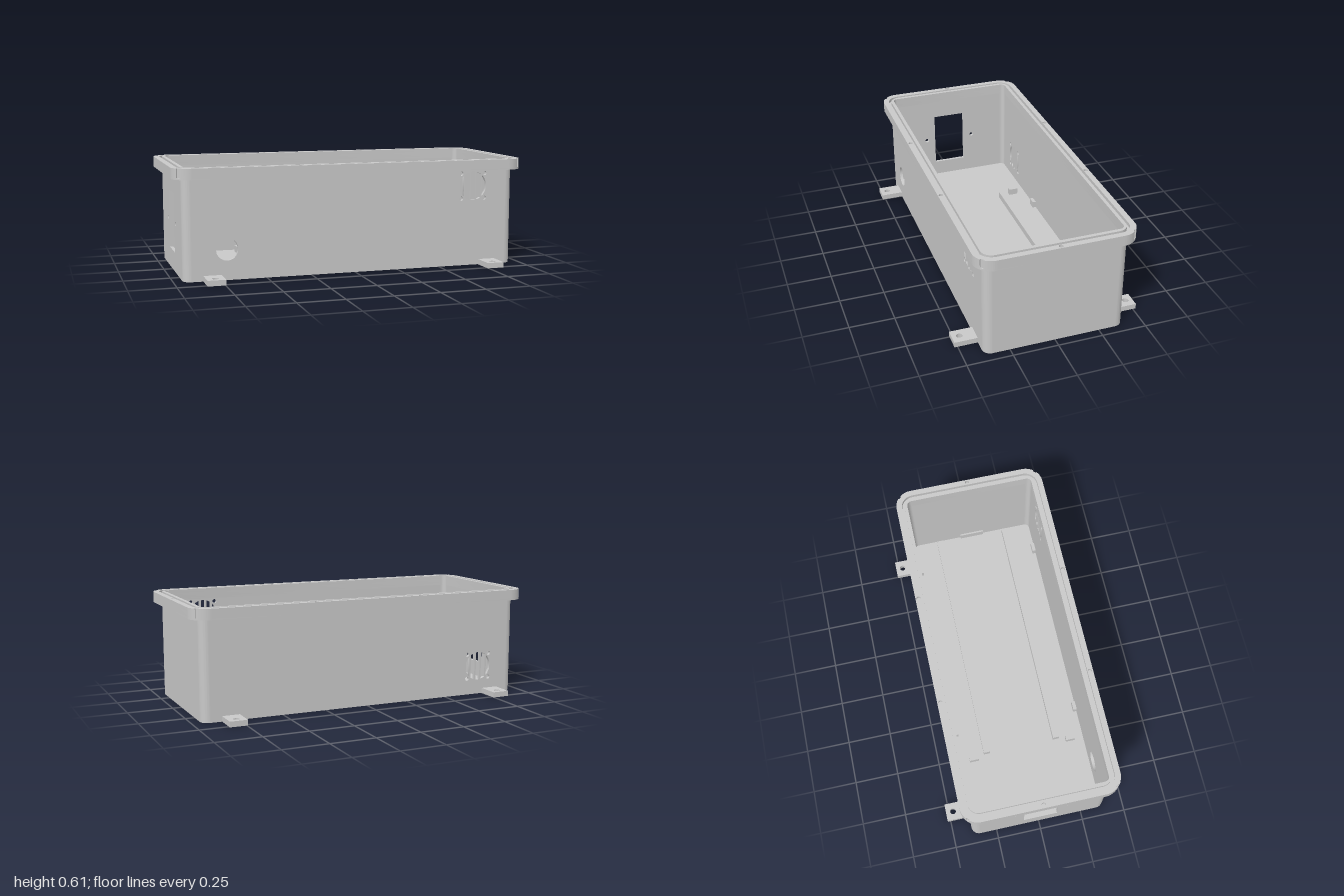
import * as THREE from 'three';
import { toCreasedNormals } from 'three/addons/utils/BufferGeometryUtils.js';

const BX = 0.95, BZ = 0.39, T = 0.018, R = 0.045;   // body half sizes, wall, corner radius
const WALL_H = 0.545, NOTCH_Y = 0.555, GROOVE_Y = 0.585, TOP = 0.605;

export function createModel() {
  const model = new THREE.Group();
  model.name = 'enclosure';
  const grey = new THREE.MeshStandardMaterial({ color: 0xc8c8c8 });
  grey.name = 'light grey plastic';

  const add = (name, geometry) => {
    const mesh = new THREE.Mesh(toCreasedNormals(geometry, 0.5), grey);
    mesh.name = name;
    model.add(mesh);
  };
  const extrude = (shape, depth) =>
    new THREE.ExtrudeGeometry(shape, { depth, bevelEnabled: false, curveSegments: 10 });
  // Extrude a plan shape (x, -z) from height y0 up to y1
  const slab = (name, shape, y0, y1) =>
    add(name, extrude(shape, y1 - y0).rotateX(-Math.PI / 2).translate(0, y0, 0));

  // Rounded rectangle, optionally with a shallow notch in the middle of each corner
  const roundedRect = (hx, hz, r, notch = 0, Type = THREE.Shape) => {
    const s = new Type();
    [[1, 1], [-1, 1], [-1, -1], [1, -1]].forEach(([sx, sz], i) => {
      const cx = sx * (hx - r), cz = sz * (hz - r);
      const a = i * Math.PI / 2, mid = a + Math.PI / 4, b = a + Math.PI / 2;
      if (notch) {
        s.absarc(cx, cz, r, a, mid - 0.1);
        s.absarc(cx, cz, r - notch, mid - 0.1, mid + 0.1);
        s.absarc(cx, cz, r, mid + 0.1, b);
      } else s.absarc(cx, cz, r, a, b);
    });
    s.closePath();
    return s;
  };
  const rect = (x0, y0, x1, y1, Type = THREE.Path) =>
    new Type([[x0, y0], [x1, y0], [x1, y1], [x0, y1]].map(p => new THREE.Vector2(...p)));
  const circle = (x, y, r) => new THREE.Path().absarc(x, y, r, 0, Math.PI * 2);

  // Fan grille: five slots trimmed by a circle, with four screw holes
  const grille = (cx, cy) => {
    const holes = [], rad = 0.081;
    for (let i = -2; i <= 2; i++) {
      const mid = i * 0.034, pts = [];
      for (const side of [1, -1]) {
        for (let k = 0; k <= 4; k++) {
          const x = mid + side * (k / 4 - 0.5) * 0.024;
          const y = Math.sqrt(Math.max(rad * rad - x * x, 0.0004));
          pts.push(new THREE.Vector2(cx + x, cy - side * y));
        }
      }
      holes.push(new THREE.Path(pts));
    }
    for (const sx of [-1, 1]) for (const sy of [-1, 1])
      holes.push(circle(cx + sx * 0.071, cy + sy * 0.071, 0.012));
    return holes;
  };

  // Long walls
  const longWall = (name, holes, z) => {
    const s = rect(-BX + R, 0, BX - R, WALL_H, THREE.Shape);
    s.holes.push(...holes);
    add(name, extrude(s, T).translate(0, 0, z));
  };
  longWall('frontWall', [circle(-0.715, 0.165, 0.06), ...grille(0.702, 0.455)], BZ - T);
  longWall('backWall', grille(-0.715, 0.165), -BZ);

  // End walls, one with a socket opening and its screw holes
  const endWall = (name, holes, x) => {
    const s = rect(-BZ + R, 0, BZ - R, WALL_H, THREE.Shape);
    s.holes.push(...holes);
    add(name, extrude(s, T).rotateY(Math.PI / 2).translate(x, 0, 0));
  };
  endWall('leftEndWall', [], BX - T);
  endWall('rightEndWall', [rect(-0.104, 0.11, 0.09, 0.44),
    circle(-0.159, 0.277, 0.012), circle(0.145, 0.277, 0.012)], -BX);

  // Rounded wall corners
  for (let i = 0; i < 4; i++) {
    const a = i * Math.PI / 2, b = a + Math.PI / 2;
    const cx = (i === 0 || i === 3 ? 1 : -1) * (BX - R);
    const cy = (i < 2 ? 1 : -1) * (BZ - R);
    const s = new THREE.Shape();
    s.absarc(cx, cy, R, a, b, false);
    s.absarc(cx, cy, R - T, b, a, true);
    s.closePath();
    slab('wallCorner', s, 0, WALL_H);
  }
  slab('floor', roundedRect(BX - T, BZ - T, R - T), 0, 0.02);

  // Rim: flange with notched corners, then two lips with a seal groove between them
  const ring = (outer, inner, holes = []) => {
    const s = roundedRect(...outer);
    s.holes.push(roundedRect(...inner, 0, THREE.Path), ...holes);
    return s;
  };
  const outer = [1, 0.437, 0.1], notched = [...outer, 0.006];
  const inner = [BX - T, BZ - T, R - T];
  const bolts = [[-0.982, 0], [0.982, 0]];
  for (const x of [-0.315, 0.315]) bolts.push([x, 0.419], [x, -0.419]);
  slab('rimBase', ring(outer, inner), WALL_H, NOTCH_Y);
  slab('rimFlange', ring(notched, inner), NOTCH_Y, GROOVE_Y);
  slab('rimOuterLip', ring(notched, [0.968, 0.405, 0.073],
    bolts.map(([x, z]) => circle(x, z, 0.012))), GROOVE_Y, TOP);
  slab('rimInnerLip', ring([0.952, 0.391, 0.06], inner), GROOVE_Y, TOP);

  // Mounting tabs with screw holes
  for (const x of [-0.796, 0.793]) for (const side of [-1, 1]) {
    const s = rect(x - 0.049, side > 0 ? 0.385 : -0.517,
      x + 0.049, side > 0 ? 0.517 : -0.385, THREE.Shape);
    s.holes.push(circle(x, side * 0.476, 0.017));
    slab('mountingTab', s, 0, 0.03);
  }

  // Inside: floor rails, stops and wall blocks
  const block = (name, x0, x1, z0, z1) =>
    add(name, new THREE.BoxGeometry(x1 - x0, 0.04, z1 - z0)
      .translate((x0 + x1) / 2, 0.038, (z0 + z1) / 2));
  for (const side of [-1, 1]) {
    const pair = (name, x0, x1, z, w) =>
      block(name, x0, x1, side * z - w / 2, side * z + w / 2);
    pair('floorRail', -0.502, 0.914, 0.21, 0.036);
    pair('floorStop', -0.532, -0.505, 0.292, 0.054);
    pair('wallBlock', -0.36, -0.308, 0.363, 0.022);
    pair('wallBlock', 0.718, 0.771, 0.363, 0.022);
  }
  block('endBlock', 0.922, 0.935, -0.073, 0.073);

  return model;
}
